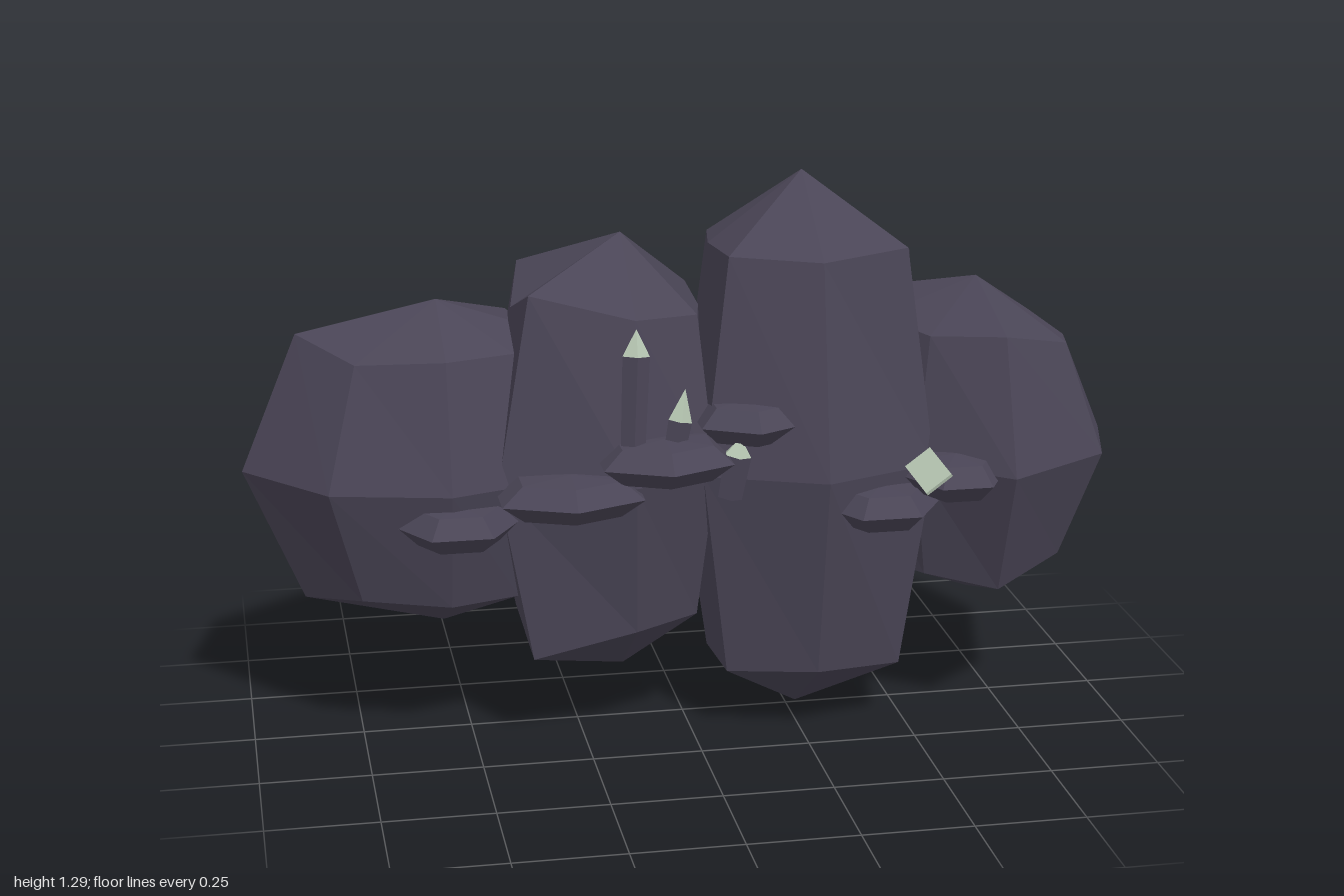
import * as THREE from 'three';

const MID = 0.647;

// Faceted boulder, mirrored about its widest ring.
// shoulder: eight [x, z, y]; waist: eight [x, z], from +x round through the front.
function boulderGeometry(px, pz, topY, shoulder, waist) {
  const rings = [
    shoulder.map(([x, z, y]) => [x, y, z]),
    waist.map(([x, z]) => [x, MID, z]),
    shoulder.map(([x, z, y]) => [x, 2 * MID - y, z]),
  ];
  const top = [px, topY, pz], bottom = [px, 2 * MID - topY, pz];
  const pos = [];
  const tri = (a, b, c) => pos.push(...a, ...b, ...c);
  for (let i = 0; i < 8; i++) {
    const j = (i + 1) % 8;
    tri(top, rings[0][j], rings[0][i]);
    for (let r = 0; r < 2; r++) {
      const u = rings[r], l = rings[r + 1];
      tri(u[i], u[j], l[i]);
      tri(u[j], l[j], l[i]);
    }
    tri(rings[2][i], rings[2][j], bottom);
  }
  const g = new THREE.BufferGeometry();
  g.setAttribute('position', new THREE.Float32BufferAttribute(pos, 3));
  g.computeVertexNormals();
  return g;
}

export function createModel() {
  const model = new THREE.Group();
  model.name = 'rockCluster';
  const stone = new THREE.MeshStandardMaterial({ color: 0x4a4556, flatShading: true });
  stone.name = 'dark stone';
  const pale = new THREE.MeshStandardMaterial({ color: 0xb4c4b0, flatShading: true });
  pale.name = 'pale green crystal';

  const add = (name, geometry, material, parent = model) => {
    const mesh = new THREE.Mesh(geometry, material);
    mesh.name = name;
    parent.add(mesh);
    return mesh;
  };

  // Boulders, from the model's right to its left
  add('outerRightBoulder', boulderGeometry(-0.557, -0.01, 1.027,
    [[-0.36, -0.01, 0.96], [-0.4, 0.13, 0.93], [-0.555, 0.18, 0.93], [-0.75, 0.13, 0.92],
      [-0.87, -0.025, 0.957], [-0.73, -0.15, 0.93], [-0.555, -0.27, 0.95], [-0.38, -0.2, 0.95]],
    [[-0.3, -0.01], [-0.38, 0.2], [-0.555, 0.26], [-0.82, 0.2],
      [-1, -0.015], [-0.79, -0.19], [-0.555, -0.38], [-0.33, -0.285]]), stone);
  add('innerRightBoulder', boulderGeometry(-0.14, -0.01, 1.163,
    [[0.04, -0.02, 0.985], [0.01, 0.13, 1.0], [-0.14, 0.2, 1.01], [-0.372, 0.175, 1.07],
      [-0.39, -0.01, 1.0], [-0.35, -0.21, 1.06], [-0.135, -0.21, 1.04], [0.04, -0.19, 1.0]],
    [[0.06, -0.01], [0.04, 0.2], [-0.15, 0.27], [-0.45, 0.21],
      [-0.46, -0.01], [-0.4, -0.25], [-0.14, -0.285], [0.06, -0.23]]), stone);
  add('tallBoulder', boulderGeometry(0.275, -0.012, 1.29,
    [[0.53, -0.01, 1.093], [0.48, 0.165, 1.14], [0.275, 0.225, 1.127], [0.075, 0.16, 1.135],
      [0.06, -0.01, 1.13], [0.09, -0.18, 1.12], [0.275, -0.25, 1.124], [0.46, -0.18, 1.11]],
    [[0.56, -0.02], [0.54, 0.21], [0.275, 0.315], [0.01, 0.21],
      [-0.01, -0.01], [0.06, -0.23], [0.275, -0.35], [0.475, -0.27]]), stone);
  add('outerLeftBoulder', boulderGeometry(0.69, -0.012, 1.027,
    [[0.905, -0.012, 0.876], [0.86, 0.15, 0.9], [0.69, 0.245, 0.945], [0.54, 0.15, 0.93],
      [0.46, -0.01, 0.94], [0.48, -0.18, 0.97], [0.69, -0.235, 0.92], [0.87, -0.17, 0.897]],
    [[1, -0.01], [0.94, 0.2], [0.69, 0.355], [0.5, 0.2],
      [0.42, -0.01], [0.48, -0.26], [0.69, -0.34], [0.925, -0.215]]), stone);

  // Flat six-sided ledges on the front: centre x, y, z, radius, turn
  const ledgeProfile = [[0, -0.95], [0.68, -0.85], [1, 0], [0.7, 0.85], [0, 1]]
    .map(([r, y]) => new THREE.Vector2(r, y));
  const ledgeGeometry = new THREE.LatheGeometry(ledgeProfile, 6);
  const ledges = [
    [-0.54, 0.567, 0.205, 0.135, Math.PI / 6], [-0.295, 0.633, 0.245, 0.182, 0],
    [-0.085, 0.705, 0.25, 0.167, 0], [0.12, 0.77, 0.185, 0.14, 0],
    [0.41, 0.57, 0.24, 0.135, Math.PI / 6], [0.575, 0.637, 0.26, 0.115, Math.PI / 6],
  ];
  for (const [x, y, z, r, turn] of ledges) {
    const ledge = new THREE.Group();
    ledge.name = 'ledge';
    add('ledgeStone', ledgeGeometry, stone, ledge).rotation.y = turn;
    ledge.scale.set(r, 0.048, 0.127);
    ledge.position.set(x, y, z);
    model.add(ledge);
  }

  // Crystals with pale tips: base x, y, z, length, radius, tip share, lean sideways, lean back
  const crystals = [
    [-0.158, 0.73, 0.255, 0.27, 0.032, 0.22, -0.06, -0.13],
    [-0.065, 0.72, 0.25, 0.145, 0.028, 0.5, -0.2, -0.1],
    [0.06, 0.61, 0.25, 0.14, 0.032, 0.3, -0.18, 0],
  ];
  for (const [x, y, z, len, r, share, lean, back] of crystals) {
    const crystal = new THREE.Group();
    crystal.name = 'crystal';
    const tip = len * share, body = len - tip;
    add('crystalShaft', new THREE.CylinderGeometry(r, r * 0.9, body, 5), stone, crystal).position.y = body / 2;
    add('crystalTip', new THREE.ConeGeometry(r, tip, 5), pale, crystal).position.y = body + tip / 2;
    crystal.position.set(x, y, z);
    crystal.rotation.set(back, 0, lean);
    model.add(crystal);
  }

  // Pale facet on the slope of the left ledge
  const facet = add('paleFacet', new THREE.BoxGeometry(0.07, 0.008, 0.11), pale);
  facet.position.set(0.5, 0.664, 0.31);
  facet.rotation.set(0.3, 0.2, 0.62);

  return model;
}
